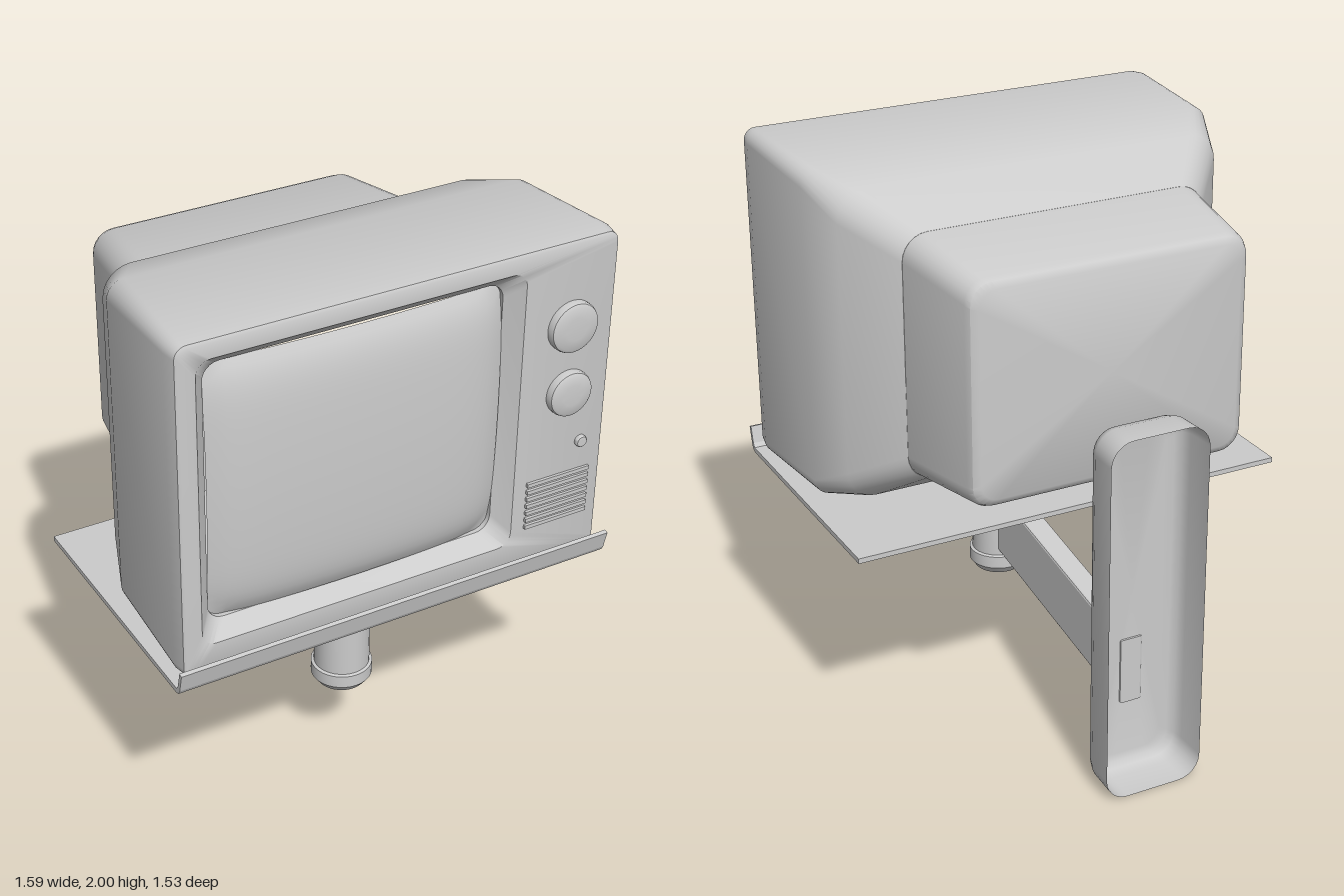
import * as THREE from 'three';
import { toCreasedNormals } from 'three/addons/utils/BufferGeometryUtils.js';

const material = new THREE.MeshStandardMaterial({ color: 0xcccccc });
const openMaterial = new THREE.MeshStandardMaterial({ color: 0xcccccc, side: THREE.DoubleSide });

function part(parent, name, geometry, mat = material) {
  const mesh = new THREE.Mesh(geometry, mat);
  mesh.name = name;
  parent.add(mesh);
  return mesh;
}

// One rounded rectangle, counter-clockwise seen from +z
function ring([z, hw, hh, r, cx, cy], steps = 6) {
  const points = [];
  [[1, 1], [-1, 1], [-1, -1], [1, -1]].forEach(([sx, sy], q) => {
    for (let i = 0; i <= steps; i++) {
      const a = (q + i / steps) * Math.PI / 2;
      points.push([cx + sx * (hw - r) + r * Math.cos(a), cy + sy * (hh - r) + r * Math.sin(a), z]);
    }
  });
  return points;
}

// Skin over rounded rectangles, ordered front to back
function loft(sections, capFront, capBack) {
  const rings = sections.map((s) => ring(s));
  const n = rings[0].length;
  const position = [];
  for (let k = 0; k < rings.length - 1; k++) {
    for (let j = 0; j < n; j++) {
      const a = rings[k][j], a1 = rings[k][(j + 1) % n];
      const b = rings[k + 1][j], b1 = rings[k + 1][(j + 1) % n];
      position.push(...a, ...b, ...a1, ...a1, ...b, ...b1);
    }
  }
  const cap = (points, [z, , , , cx, cy], front) => {
    for (let j = 0; j < n; j++) {
      const p = points[j], q = points[(j + 1) % n];
      position.push(cx, cy, z, ...(front ? p : q), ...(front ? q : p));
    }
  };
  if (capFront) cap(rings[0], sections[0], true);
  if (capBack) cap(rings[rings.length - 1], sections[sections.length - 1], false);
  const geometry = new THREE.BufferGeometry();
  geometry.setAttribute('position', new THREE.Float32BufferAttribute(position, 3));
  return toCreasedNormals(geometry, 0.7);
}

function lathe(profile, segments = 32) {
  const points = profile.map(([r, y]) => new THREE.Vector2(r, y));
  return toCreasedNormals(new THREE.LatheGeometry(points, segments), 0.6);
}

// Extrude a [z, y] side profile across x
function sideExtrude(profile, width, bevel = 0) {
  const shape = new THREE.Shape(profile.map(([z, y]) => new THREE.Vector2(z, y)));
  const geometry = new THREE.ExtrudeGeometry(shape, {
    depth: width - 2 * bevel, bevelEnabled: bevel > 0, bevelSize: bevel,
    bevelThickness: bevel, bevelOffset: -bevel, bevelSegments: 2,
  });
  geometry.translate(0, 0, -width / 2 + bevel);
  geometry.rotateY(-Math.PI / 2);
  return geometry;
}

function buildTelevision() {
  const tv = new THREE.Group();
  tv.name = 'television';
  const sx = -0.133, sy = 1.427;

  // Cabinet: screen recess, front face, then tapering sides
  part(tv, 'cabinet', loft([
    [0.60, 0.518, 0.456, 0.055, sx, sy],
    [0.66, 0.518, 0.456, 0.055, sx, sy],
    [0.716, 0.566, 0.504, 0.05, sx, sy],
    [0.718, 0.757, 0.578, 0.03, 0.003, 1.405],
    [0.712, 0.766, 0.588, 0.04, 0.003, 1.405],
    [0.66, 0.775, 0.595, 0.045, 0.003, 1.405],
    [0.25, 0.757, 0.583, 0.06, 0, 1.402],
    [0.09, 0.70, 0.54, 0.10, 0, 1.40],
    [-0.075, 0.552, 0.43, 0.09, 0, 1.40],
  ], false, true));

  // Rear housing over the tube neck
  part(tv, 'rearHousing', loft([
    [-0.07, 0.552, 0.43, 0.09, 0, 1.40],
    [-0.42, 0.505, 0.39, 0.08, 0, 1.40],
    [-0.443, 0.495, 0.38, 0.075, 0, 1.40],
    [-0.455, 0.47, 0.357, 0.06, 0, 1.40],
  ], false, true));

  // Bulging screen glass, falling away at its edges
  const glass = new THREE.PlaneGeometry(1.036, 0.912, 32, 32);
  const p = glass.attributes.position;
  for (let i = 0; i < p.count; i++) {
    const u = p.getX(i) / 0.518, v = p.getY(i) / 0.456;
    p.setZ(i, 0.725 - 0.02 * (u * u + v * v) - 0.035 * Math.min(1.3, u ** 8 + v ** 8));
  }
  glass.computeVertexNormals();
  part(tv, 'screen', glass).position.set(sx, sy, 0);

  // Dials and a small button
  const controls = [['upperDial', 0.61, 1.70, 0.088, 0.035], ['lowerDial', 0.615, 1.458, 0.08, 0.035],
    ['button', 0.682, 1.255, 0.021, 0.018]];
  for (const [name, x, y, r, h] of controls) {
    const knob = part(tv, name, lathe([[r, -0.01], [r, h * 0.5], [r * 0.96, h * 0.75],
      [r * 0.85, h * 0.9], [r * 0.45, h * 0.98], [0, h]]));
    knob.rotation.x = Math.PI / 2;
    knob.position.set(x, y, 0.716);
  }

  // Speaker grille
  for (let i = 0; i < 7; i++) {
    const bar = part(tv, 'grilleBar', new THREE.BoxGeometry(0.24, 0.014, 0.02));
    bar.position.set(0.602, 0.98 + i * 0.027, 0.717);
  }
  return tv;
}

function buildMount() {
  const mount = new THREE.Group();
  mount.name = 'wallMount';

  // Tray with an upturned front lip
  part(mount, 'tray', sideExtrude([[-0.21, 0.79], [0.722, 0.79], [0.74, 0.797], [0.748, 0.812],
    [0.764, 0.878], [0.75, 0.882], [0.735, 0.822], [0.725, 0.808], [-0.21, 0.808]], 1.594));

  // Swivel bowl, post and foot
  const post = new THREE.Group();
  post.name = 'swivel';
  post.position.z = 0.375;
  mount.add(post);
  part(post, 'swivelBowl', lathe([[0, 0.658], [0.105, 0.658], [0.145, 0.69], [0.163, 0.715],
    [0.173, 0.738], [0.16, 0.738], [0.168, 0.79], [0, 0.79]]));
  part(post, 'post', lathe([[0.096, 0.37], [0.096, 0.67]]));
  part(post, 'postFoot', lathe([[0, 0.31], [0.085, 0.31], [0.106, 0.338], [0.106, 0.383],
    [0.096, 0.387]]));

  // Sloping arm
  part(mount, 'arm', sideExtrude([[-0.606, 0.255], [0.32, 0.41], [0.32, 0.652], [-0.606, 0.497]],
    0.084, 0.008));

  // Wall bracket: rounded shell, open at the back
  part(mount, 'wallBracket', loft([
    [-0.6, 0.115, 0.60, 0.06, 0, 0.655],
    [-0.606, 0.143, 0.625, 0.07, 0, 0.655],
    [-0.622, 0.163, 0.642, 0.075, 0, 0.655],
    [-0.655, 0.174, 0.652, 0.08, 0, 0.655],
    [-0.765, 0.178, 0.655, 0.08, 0, 0.655],
  ], true, false), openMaterial);
  return mount;
}

export function createModel() {
  const model = new THREE.Group();
  model.name = 'wallMountedTelevision';
  model.add(buildTelevision(), buildMount());
  return model;
}
